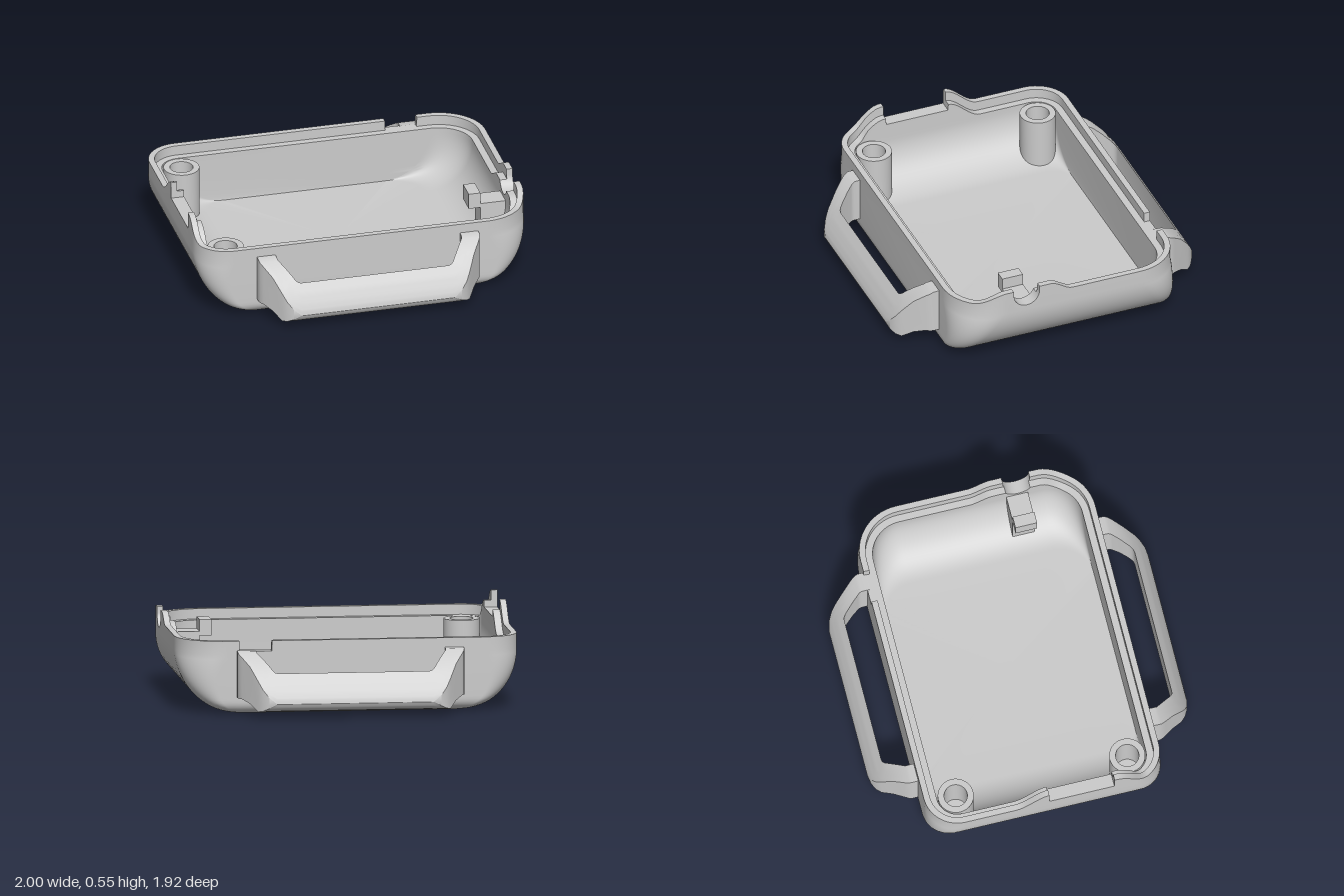
import * as THREE from 'three';
import { toCreasedNormals } from 'three/addons/utils/BufferGeometryUtils.js';

const material = new THREE.MeshStandardMaterial({ color: 0xcccccc, side: THREE.DoubleSide });
const { smoothstep } = THREE.MathUtils;

function addMesh(parent, name, geometry) {
  const mesh = new THREE.Mesh(toCreasedNormals(geometry, 0.5), material);
  mesh.name = name;
  parent.add(mesh);
  return mesh;
}

// Skin a list of closed rings of [x, y, z] points, leaving out empty triangles.
function loft(rings) {
  const n = rings[0].length, index = [];
  const position = new THREE.Float32BufferAttribute(rings.flat(2), 3);
  const triangle = new THREE.Triangle();
  const add = (a, b, c) => {
    triangle.setFromAttributeAndIndices(position, a, b, c);
    if (triangle.getArea() > 1e-9) index.push(a, b, c);
  };
  for (let i = 0; i < rings.length - 1; i++) {
    for (let j = 0; j < n; j++) {
      const a = i * n + j, b = i * n + (j + 1) % n;
      add(a, b, b + n);
      add(a, b + n, a + n);
    }
  }
  const g = new THREE.BufferGeometry();
  g.setAttribute('position', position);
  g.setIndex(index);
  return g;
}

const span = (a, b, n) => Array.from({ length: n + 1 }, (_, i) => a + (b - a) * i / n);

// Height of a circle's lower arc at offset d from its middle, measured down from the centre.
const arc = (r, d) => Math.sqrt(Math.max(0, r * r - d * d));

// Points round the tray plan: four corners plus straight-side points at the cut-outs.
function planStations() {
  const corner = (sx, sz, q) =>
    span(q, q + 1, 14).map(t => ({ sx, sz, angle: t * Math.PI / 2 }));
  const leftZ = [...span(-0.22, -0.001, 12), 0.001, 0.389, 0.391, 0.41, 0.44, 0.47];
  const rightZ = [0.4, 0.371, ...span(0, Math.PI, 16).map(a => 0.29 + 0.0795 * Math.cos(a)),
    0.209, ...span(0.14, -0.01, 10)];
  return [
    ...corner(1, -1, 0),
    ...[0.651, 0.649, 0.461, 0.459].map(x => ({ x })),
    ...corner(-1, -1, 1),
    ...leftZ.map(z => ({ sx: -1, z })),
    ...corner(-1, 1, 2),
    ...corner(1, 1, 3),
    ...rightZ.map(z => ({ sx: 1, z })),
  ];
}

// Rim height and cut-out limit at a point on the outer outline.
function rim(x, z) {
  let h = 0.43, cut = 9;
  if (x > 0.6) {
    h += 0.06 * smoothstep(z, 0, 0.14) * (1 - smoothstep(z, 0.42, 0.61));
    if (Math.abs(z - 0.29) < 0.08) cut = 0.46 - arc(0.08, z - 0.29);
  } else if (x < -0.6) {
    h += 0.12 * smoothstep(z, -0.2, 0) * (1 - smoothstep(z, 0.41, 0.61));
    if (z > 0 && z < 0.39) cut = 0.45;
  }
  if (z < -0.7 && x > 0.46 && x < 0.65) cut = 0.37;
  return { lip: Math.min(h, cut), ledge: Math.min(h - 0.06, cut) };
}

function trayGeometry() {
  const stations = planStations();
  const cornerRadius = sx => (sx > 0 ? 0.28 : 0.2);
  const place = (s, ix, iz, radius) => {
    const ax = 1 - ix, az = 0.705 - iz;
    if (s.x !== undefined) return [s.x, -az];
    if (s.z !== undefined) return [s.sx * ax, s.z];
    const r = radius(s.sx);
    return [s.sx * (ax - r) + r * Math.cos(s.angle), s.sz * (az - r) - r * Math.sin(s.angle)];
  };
  const edge = stations.map(s => rim(...place(s, 0, 0, cornerRadius)));
  const ring = (ix, iz, radius, height) => stations.map((s, i) => {
    const [x, z] = place(s, ix, iz, radius);
    return [x, height(i), z];
  });
  const centre = y => stations.map(() => [0, y, 0]);
  const quarter = span(0, Math.PI / 2, 20);

  // Outer skin, sweeping up with wide side curves and tight front and back ones
  const rings = [centre(0)];
  for (const a of quarter) {
    const y = 0.35 * (1 - Math.cos(a));
    const iz = y < 0.07 ? 0.07 - arc(0.07, 0.07 - y) : 0;
    rings.push(ring(0.35 * (1 - Math.sin(a)), iz,
      sx => 0.07 + (cornerRadius(sx) - 0.07) * y / 0.35, () => y));
  }
  // Raised lip and the ledge behind it
  const inset = (d, height) => ring(d, d, sx => cornerRadius(sx) - d, height);
  rings.push(inset(0, i => edge[i].lip), inset(0.036, i => edge[i].lip),
    inset(0.036, i => edge[i].ledge), inset(0.078, i => edge[i].ledge));
  // Inner skin down to the floor
  for (const a of quarter.reverse()) {
    const y = 0.06 + 0.28 * (1 - Math.cos(a));
    rings.push(ring(0.078 + 0.28 * (1 - Math.sin(a)), 0.078,
      sx => cornerRadius(sx) - 0.078, () => y));
  }
  rings.push(centre(0.06));
  return loft(rings);
}

// Linear lookup in a list of [key, value] pairs, holding the last value past the end.
function lookup(table, key) {
  for (let i = 1; i < table.length; i++) {
    const [k0, v0] = table[i - 1], [k1, v1] = table[i];
    if (key <= k1) return v0 + (v1 - v0) * (key - k0) / (k1 - k0);
  }
  return table[table.length - 1][1];
}

// Handle: a bent band in plan, trimmed above and below by a hooked side profile.
function handleGeometry() {
  const top = [[0.69, 0.375], [0.735, 0.375], [0.78, 0.347], [0.83, 0.307], [0.87, 0.262],
    [0.91, 0.205], [0.94, 0.15], [0.955, 0.115], [0.96, 0.09]];
  const bottom = [[0.69, 0.1], [0.8, 0.1], [0.83, 0.09], [0.855, 0.065], [0.88, 0.045],
    [0.9, 0.04], [0.93, 0.047], [0.95, 0.065], [0.96, 0.09]];
  const outer = [[0.665, 0.69], [0.665, 0.74], [0.66, 0.76], [0.645, 0.785], [0.605, 0.84],
    [0.565, 0.9], [0.54, 0.928], [0.505, 0.95], [0.46, 0.96]];
  const inner = [[0.555, 0.69], [0.555, 0.74], [0.552, 0.755], [0.545, 0.765], [0.52, 0.8],
    [0.487, 0.843], [0.475, 0.858], [0.462, 0.868], [0.445, 0.872]];
  const right = outer.map((o, i) => ({ o, n: inner[i] }));
  const flip = ([x, z]) => [-x, z];
  const left = right.map(({ o, n }) => ({ o: flip(o), n: flip(n) }));
  return loft([...left, ...right.reverse()].map(({ o, n }) => {
    const across = span(0, 1, 14).map(t => {
      const u = Math.sin(t * Math.PI / 2);
      return [n[0] + (o[0] - n[0]) * u, n[1] + (o[1] - n[1]) * u];
    });
    const upper = across.map(([x, z]) => [x, lookup(top, z), z]);
    const lower = across.map(([x, z]) => [x, lookup(bottom, z), z]).reverse();
    return [...upper, ...lower];
  }));
}

// Hollow screw post whose foot follows the curved floor.
function postGeometry(cx, cz) {
  const profile = [[0.105, 0], [0.105, 0.37], [0.068, 0.37], [0.068, 0.12], [0, 0.12]];
  const g = new THREE.LatheGeometry(profile.map(p => new THREE.Vector2(...p)), 40);
  g.translate(cx, 0, cz);
  const p = g.attributes.position;
  for (let i = 0; i < p.count; i++) {
    if (p.getY(i) > 0.01) continue;
    const out = Math.max(0, Math.abs(p.getX(i)) - 0.65);
    p.setY(i, 0.03 + 0.35 - arc(0.35, out));
  }
  return g;
}

export function createModel() {
  const model = new THREE.Group();
  model.name = 'caseHalf';

  addMesh(model, 'tray', trayGeometry());

  addMesh(model, 'frontHandle', handleGeometry());
  addMesh(model, 'backHandle', handleGeometry()).rotation.y = Math.PI;

  addMesh(model, 'frontScrewPost', postGeometry(-0.805, 0.515));
  addMesh(model, 'backScrewPost', postGeometry(-0.805, -0.515));

  // Stepped support bracket inside the round notch
  const outline = [[0.7, 0.43], [0.7, 0.335], [0.77, 0.335], [0.77, 0.05], [0.89, 0.12],
    [0.94, 0.2], [0.94, 0.36], [0.77, 0.36], [0.77, 0.43]];
  const shape = new THREE.Shape(outline.map(p => new THREE.Vector2(...p)));
  const bracket = new THREE.ExtrudeGeometry(shape, { depth: 0.13, bevelEnabled: false });
  bracket.translate(0, 0, 0.22);
  addMesh(model, 'notchBracket', bracket);

  return model;
}
